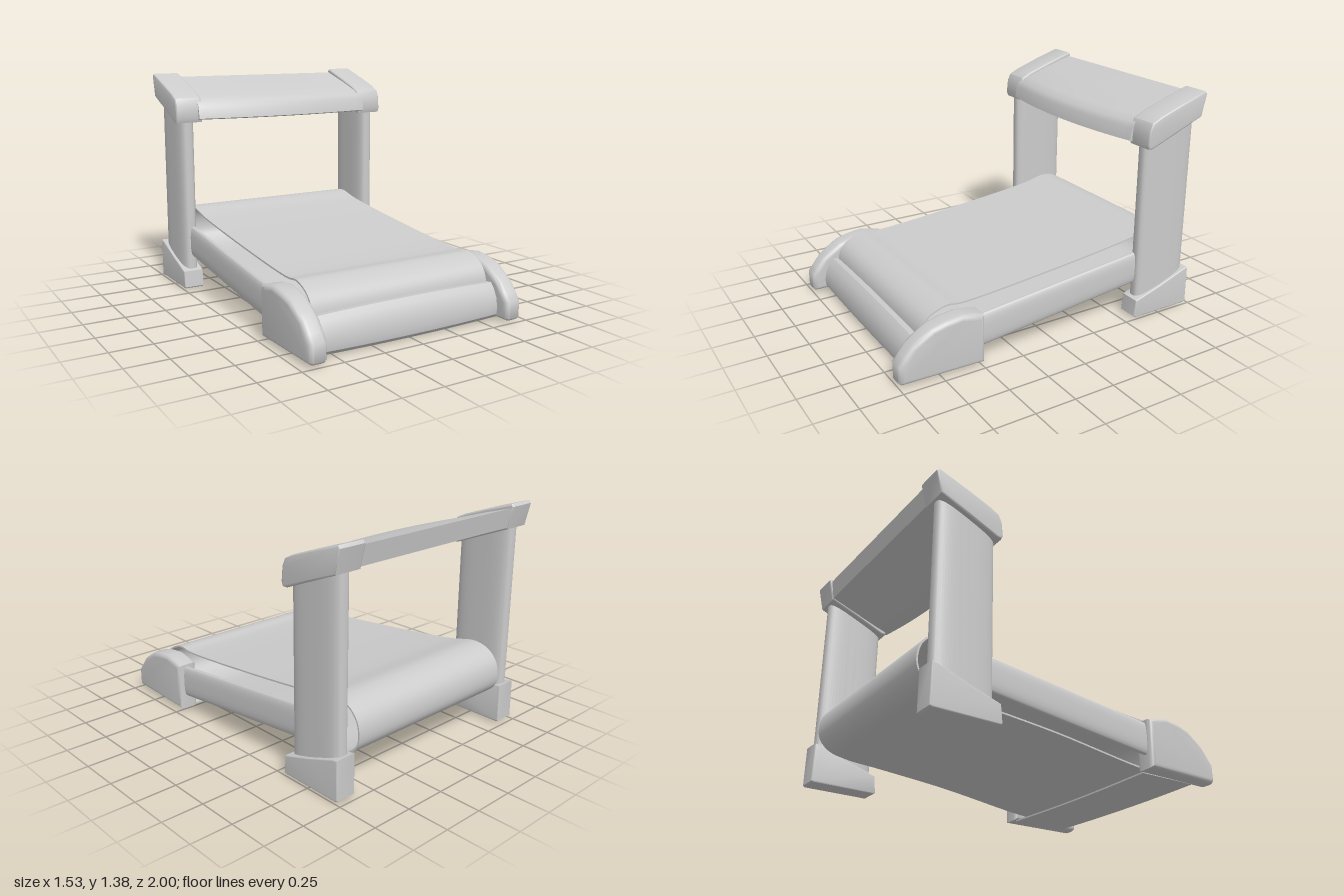
import * as THREE from 'three';
import { toCreasedNormals } from 'three/addons/utils/BufferGeometryUtils.js';

const material = new THREE.MeshStandardMaterial({ color: 0xcccccc, side: THREE.DoubleSide });

function add(group, name, geometry, crease = 0.6) {
  const mesh = new THREE.Mesh(toCreasedNormals(geometry, crease), material);
  mesh.name = name;
  group.add(mesh);
}

// Move every vertex by a rule
function warp(geometry, rule) {
  const p = geometry.attributes.position;
  const v = new THREE.Vector3();
  for (let i = 0; i < p.count; i++) {
    rule(v.fromBufferAttribute(p, i));
    p.setXYZ(i, v.x, v.y, v.z);
  }
  return geometry;
}

// Side profile of [z, y] points, extruded across x from x0 to x1
function slab(profile, x0, x1, bevel = 0, steps = 1, hole = null) {
  const flat = (pts) => pts.map(([z, y]) => new THREE.Vector2(-z, y));
  const shape = new THREE.Shape(flat(profile));
  if (hole) shape.holes.push(new THREE.Path(flat(hole)));
  const g = new THREE.ExtrudeGeometry(shape, {
    depth: x1 - x0 - 2 * bevel, steps, bevelEnabled: bevel > 0,
    bevelThickness: bevel, bevelSize: bevel, bevelOffset: -bevel, bevelSegments: 5,
  });
  return g.rotateY(Math.PI / 2).translate(x0 + bevel, 0, 0);
}

// Smooth closed curve through [z, y] points, sampled
function smooth(points, count, closed = true) {
  const curve = new THREE.CatmullRomCurve3(points.map(([z, y]) => new THREE.Vector3(z, y, 0)), closed, 'centripetal');
  const out = curve.getPoints(count).map((p) => [p.x, p.y]);
  if (closed) out.pop();
  return out;
}

// Rounded bar along +z with a superellipse section
function roundedBar(width, height, length, power) {
  const pts = [];
  for (let i = 0; i < 48; i++) {
    const a = (i / 48) * Math.PI * 2;
    const c = Math.cos(a), s = Math.sin(a);
    pts.push(new THREE.Vector2(
      Math.sign(c) * Math.abs(c) ** (2 / power) * width / 2,
      Math.sign(s) * Math.abs(s) ** (2 / power) * height / 2));
  }
  return new THREE.ExtrudeGeometry(new THREE.Shape(pts), { depth: length, bevelEnabled: false });
}

export function createModel() {
  const model = new THREE.Group();

  // Running belt: a thin closed loop, swollen at the rear roller
  const outer = smooth([
    [0.5, 0.05], [-0.1, 0.125], [-0.58, 0.165], [-0.78, 0.18], [-0.9, 0.21], [-0.962, 0.27],
    [-0.975, 0.34], [-0.955, 0.42], [-0.9, 0.478], [-0.8, 0.507], [-0.6, 0.47], [0, 0.4],
    [0.55, 0.355], [0.66, 0.362], [0.77, 0.315], [0.815, 0.25], [0.82, 0.15], [0.77, 0.08], [0.65, 0.045],
  ], 110);
  const inner = outer.map(([z, y], i) => {
    const a = outer.at(i - 1), b = outer[(i + 1) % outer.length];
    const dz = b[0] - a[0], dy = b[1] - a[1], d = Math.hypot(dz, dy) / 0.01;
    return [z + dy / d, y - dz / d];
  });
  add(model, 'belt', slab(outer, -0.59, 0.59, 0, 1, inner));

  // Front crossbar with its floor plate, slightly bowed across the width
  const bar = slab([
    [0.5, 0.01], [0.5, 0.02], [0.78, 0.035], [0.825, 0.08], [0.825, 0.215], [0.86, 0.218],
    [0.885, 0.19], [0.91, 0.14], [0.922, 0.08], [0.915, 0.04], [0.89, 0.015],
  ], -0.62, 0.62, 0, 16);
  add(model, 'frontCrossbar', warp(bar, (v) => {
    const bow = 1 - (v.x / 0.62) ** 2;
    v.y += bow * (v.y > 0.12 ? 0.012 : -0.01);
  }));

  // Console panel: sloping top, drooping front lip, front edge bowed forward
  const panel = slab([
    [-0.985, 1.36], [-0.8, 1.305], [-0.64, 1.25], [-0.59, 1.222], [-0.57, 1.19], [-0.555, 1.115],
    [-0.575, 1.108], [-0.65, 1.13], [-0.8, 1.185], [-0.965, 1.245],
  ], -0.62, 0.62, 0, 20);
  add(model, 'consolePanel', warp(panel, (v) => {
    const bow = 1 - (v.x / 0.62) ** 2;
    v.z += 0.06 * bow * THREE.MathUtils.smoothstep(v.z, -0.9, -0.58);
  }), 0.8);

  const footProfile = [
    [0.48, 0.015], [0.48, 0.31], [0.54, 0.328], [0.62, 0.342], [0.72, 0.33], [0.8, 0.308],
    [0.87, 0.265], [0.92, 0.23], [0.965, 0.175], [1, 0.13], [1, 0.03], [0.985, 0.015],
  ];
  const shoeProfile = [
    [-0.56, 0.02], [-0.57, 0.125], [-0.6, 0.135], [-0.76, 0.185], [-0.94, 0.25], [-0.975, 0.255],
    [-0.977, 0.02], [-0.965, 0.012], [-0.57, 0.012],
  ];
  const capProfile = [
    [-0.985, 1.385], [-0.8, 1.325], [-0.66, 1.275], [-0.6, 1.245], [-0.58, 1.2], [-0.572, 1.12],
    [-0.582, 1.092], [-0.61, 1.092], [-0.78, 1.16], [-0.968, 1.235], [-1, 1.37],
  ];

  for (const [side, s] of [['left', 1], ['right', -1]]) {
    const half = new THREE.Group();
    half.name = side + 'Frame';
    model.add(half);
    const span = (profile, a, b, bevel) => slab(profile, Math.min(s * a, s * b), Math.max(s * a, s * b), bevel);

    // Front foot, its outer face narrowing toward the nose
    const foot = warp(span(footProfile, 0.595, 0.722, 0.03), (v) => {
      const nose = THREE.MathUtils.smoothstep(v.z, 0.65, 1);
      if (Math.abs(v.x) > 0.66) v.x -= s * 0.015 * nose;
    });
    add(half, 'frontFoot', foot, 0.8);

    // Sloping side rail between foot and post
    const rail = warp(roundedBar(0.046, 0.198, 1.25, 2.6), (v) => {
      v.z -= 0.7;
      v.y += 0.25 - 0.108 * v.z;
      v.x += s * 0.667;
    });
    add(half, 'sideRail', rail);

    // Upright post, its top cut to the slope of the cap
    const post = warp(roundedBar(0.106, 0.362, 1, 3.2).rotateX(-Math.PI / 2), (v) => {
      const t = v.y;
      v.x += s * 0.68;
      v.z -= 0.774;
      v.y = 0.03 + t * (1.17 + 0.3 * (-v.z - 0.6));
    });
    add(half, 'post', post);

    // Shoe under the post and cap on top of it
    add(half, 'postShoe', span(shoeProfile, 0.62, 0.75, 0.008));
    add(half, 'consoleCap', span(capProfile, 0.59, 0.766, 0.012), 0.7);
  }

  return model;
}
